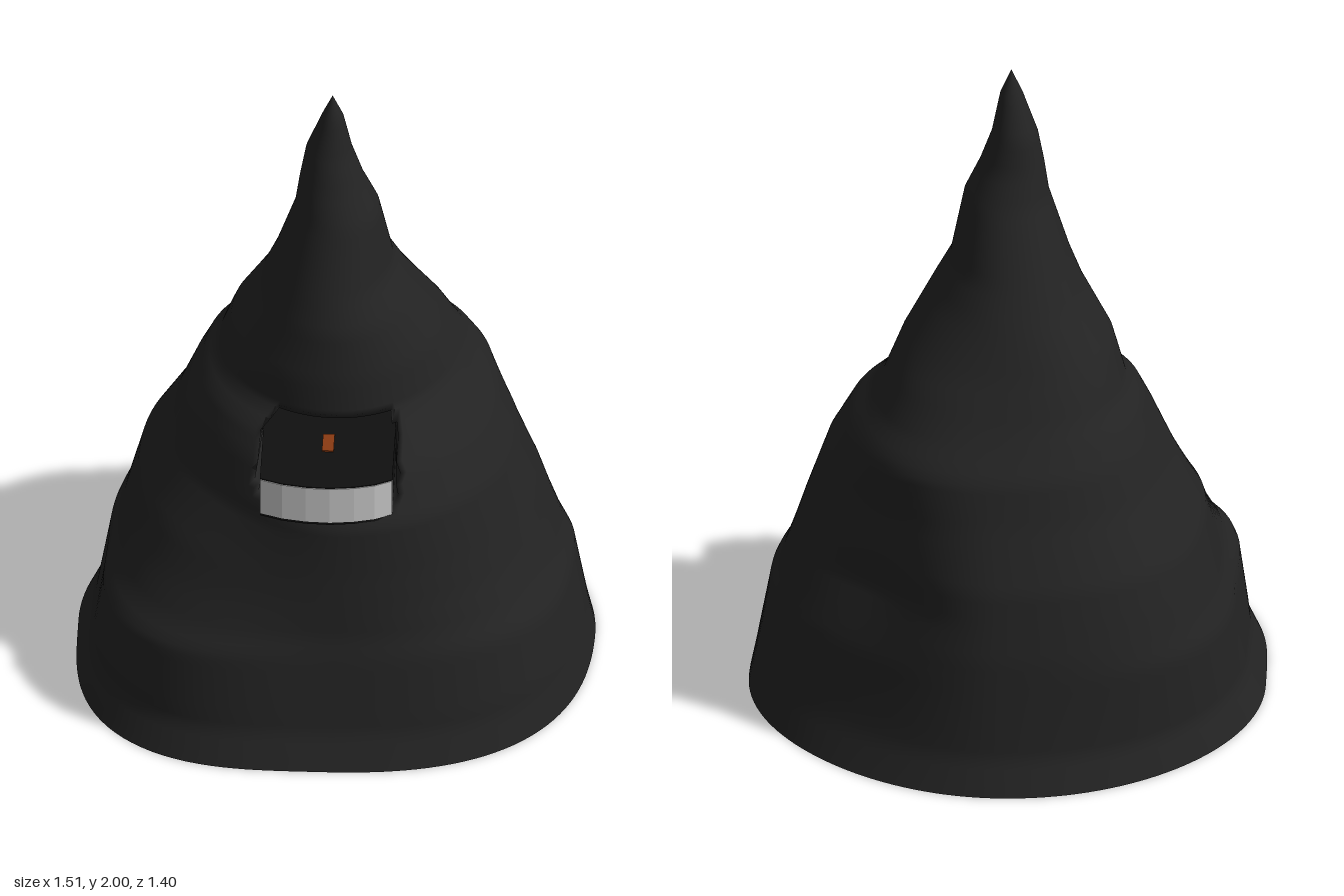
import * as THREE from 'three';

// Height, then extents: -x, +x, +z (front), -z (back)
const PROFILE = [
  [0, -0.755, 0.75, 0.70, -0.70],
  [0.1, -0.705, 0.73, 0.65, -0.655],
  [0.325, -0.665, 0.69, 0.605, -0.625],
  [0.4, -0.63, 0.655, 0.585, -0.615],
  [0.6, -0.58, 0.59, 0.565, -0.57],
  [0.775, -0.485, 0.525, 0.552, -0.495],
  [0.9, -0.43, 0.46, 0.485, -0.45],
  [0.975, -0.395, 0.39, 0.41, -0.39],
  [1.025, -0.35, 0.36, 0.342, -0.355],
  [1.15, -0.31, 0.305, 0.333, -0.285],
  [1.3, -0.225, 0.22, 0.31, -0.215],
  [1.4, -0.185, 0.165, 0.275, -0.165],
  [1.6, -0.122, 0.125, 0.205, -0.072],
  [1.7, -0.108, 0.08, 0.165, -0.035],
  [1.8, -0.09, 0.045, 0.135, -0.015],
  [1.925, -0.045, 0.02, 0.105, 0.035],
  [2, -0.012, -0.012, 0.07, 0.07]
];

// Height, then diagonal swelling: front +x, front -x, back +x, back -x
const SWELL = [
  [0, 0.06, 0.13, -0.02, -0.01],
  [0.15, 0.08, 0.16, -0.07, 0.02],
  [0.35, 0.08, 0.19, -0.12, 0.06],
  [0.5, 0.03, 0.08, -0.17, 0.06],
  [0.75, 0, -0.08, -0.06, 0.05],
  [0.95, -0.02, -0.03, 0.10, 0.06],
  [1.1, -0.02, 0, 0.09, 0.07],
  [1.3, 0, 0, 0, 0.04],
  [2, 0, 0, 0, 0]
];

const CAVE_BACK = 0.12;

const material = (color) => new THREE.MeshStandardMaterial({ color, side: THREE.DoubleSide });

function sample(table, y) {
  let i = 0;
  while (i < table.length - 2 && table[i + 1][0] < y) i++;
  const a = table[i], b = table[i + 1];
  const t = (y - a[0]) / (b[0] - a[0]);
  return a.map((v, k) => THREE.MathUtils.lerp(v, b[k], t));
}

// Point on the mountain surface, pushed inwards where the cave opens
function surfacePoint(angle, y) {
  const [, xl, xr, zf, zb] = sample(PROFILE, y);
  const s = Math.sin(angle), c = Math.cos(angle);
  const quadrant = 1 + (c < 0 ? 2 : 0) + (s < 0 ? 1 : 0);
  const swell = 1 + sample(SWELL, y)[quadrant] * Math.sin(2 * angle) ** 2;
  const x = (xl + xr) / 2 + s * swell * (xr - xl) / 2;
  const z = (zf + zb) / 2 + c * swell * (zf - zb) / 2;
  const halfWidth = y > 0.98 ? 0.17 : 0.195;
  const inCave = c > 0 && y > 0.84 && y < 1.01 && Math.abs(x + 0.01) < halfWidth;
  // The last recessed row is lifted to make a level ceiling
  return inCave ? [x, y > 0.98 ? 1.03 : y, CAVE_BACK] : [x, y, z];
}

function mountainGeometry(rows = 80, cols = 144) {
  const positions = [], index = [];
  for (let r = 0; r <= rows; r++) {
    for (let k = 0; k < cols; k++) {
      positions.push(...surfacePoint((k / cols) * Math.PI * 2, (r / rows) * 2));
    }
  }
  for (let r = 0; r < rows; r++) {
    for (let k = 0; k < cols; k++) {
      const a = r * cols + k, b = r * cols + (k + 1) % cols;
      index.push(a, b, b + cols, a, b + cols, a + cols);
    }
  }
  const geometry = new THREE.BufferGeometry();
  geometry.setAttribute('position', new THREE.Float32BufferAttribute(positions, 3));
  geometry.setIndex(index);
  geometry.computeVertexNormals();
  return geometry;
}

// Plan outline given in (x, z), raised from y0 to y1
function slab(points, y0, y1) {
  const shape = new THREE.Shape(points.map(([x, z]) => new THREE.Vector2(x, -z)));
  const geometry = new THREE.ExtrudeGeometry(shape, { depth: y1 - y0, bevelEnabled: false });
  return geometry.rotateX(-Math.PI / 2).translate(0, y0, 0);
}

export function createModel() {
  const group = new THREE.Group();
  const dark = material(0x232323), black = material(0x101010), white = material(0xcccccc);
  const add = (name, geometry, mat, x = 0, y = 0, z = 0) => {
    const mesh = new THREE.Mesh(geometry, mat);
    mesh.name = name;
    mesh.position.set(x, y, z);
    group.add(mesh);
  };

  add('mountain', mountainGeometry(), dark);

  // Balcony with a bowed front wall, its floor running back into the cave
  const bow = [[-0.205, 0.515], [-0.14, 0.538], [-0.07, 0.55], [0, 0.553], [0.07, 0.545], [0.13, 0.53], [0.18, 0.505]];
  add('balconyFloor', slab([[-0.205, CAVE_BACK], ...bow, [0.18, CAVE_BACK]], 0.795, 0.93), black);
  const outer = bow.map(([x, z]) => [x, z + 0.003]);
  const inner = bow.map(([x, z]) => [x, z - 0.003]).reverse();
  add('balconyFrontWall', slab([...outer, ...inner], 0.805, 0.927), white);

  // Pale back wall with chamfered top corners, deep in the cave
  const wall = new THREE.Shape([
    [-0.2, 0.9], [0.18, 0.9], [0.18, 0.97], [0.165, 0.995], [0.13, 1.022],
    [0, 1.03], [-0.14, 1.025], [-0.175, 0.995], [-0.2, 0.95]
  ].map(([x, y]) => new THREE.Vector2(x, y)));
  add('backWall', new THREE.ExtrudeGeometry(wall, { depth: 0.015, bevelEnabled: false }), white, 0, 0, CAVE_BACK + 0.002);

  // Doorway trim, sign, panel and mat
  const doorZ = CAVE_BACK + 0.018;
  for (const x of [-0.07, 0.04]) add('doorJamb', new THREE.BoxGeometry(0.003, 0.07, 0.004), dark, x, 0.965, doorZ);
  add('doorHead', new THREE.BoxGeometry(0.11, 0.003, 0.004), dark, -0.015, 1.0, doorZ);
  add('doorSign', new THREE.BoxGeometry(0.055, 0.025, 0.01), black, -0.015, 0.988, doorZ + 0.002);
  add('doorPanel', new THREE.BoxGeometry(0.03, 0.045, 0.006), material(0x1f4a50), -0.015, 0.953, doorZ + 0.001);
  add('doorMat', new THREE.BoxGeometry(0.034, 0.004, 0.08), material(0x8a3a12), -0.013, 0.932, 0.34);

  return group;
}
